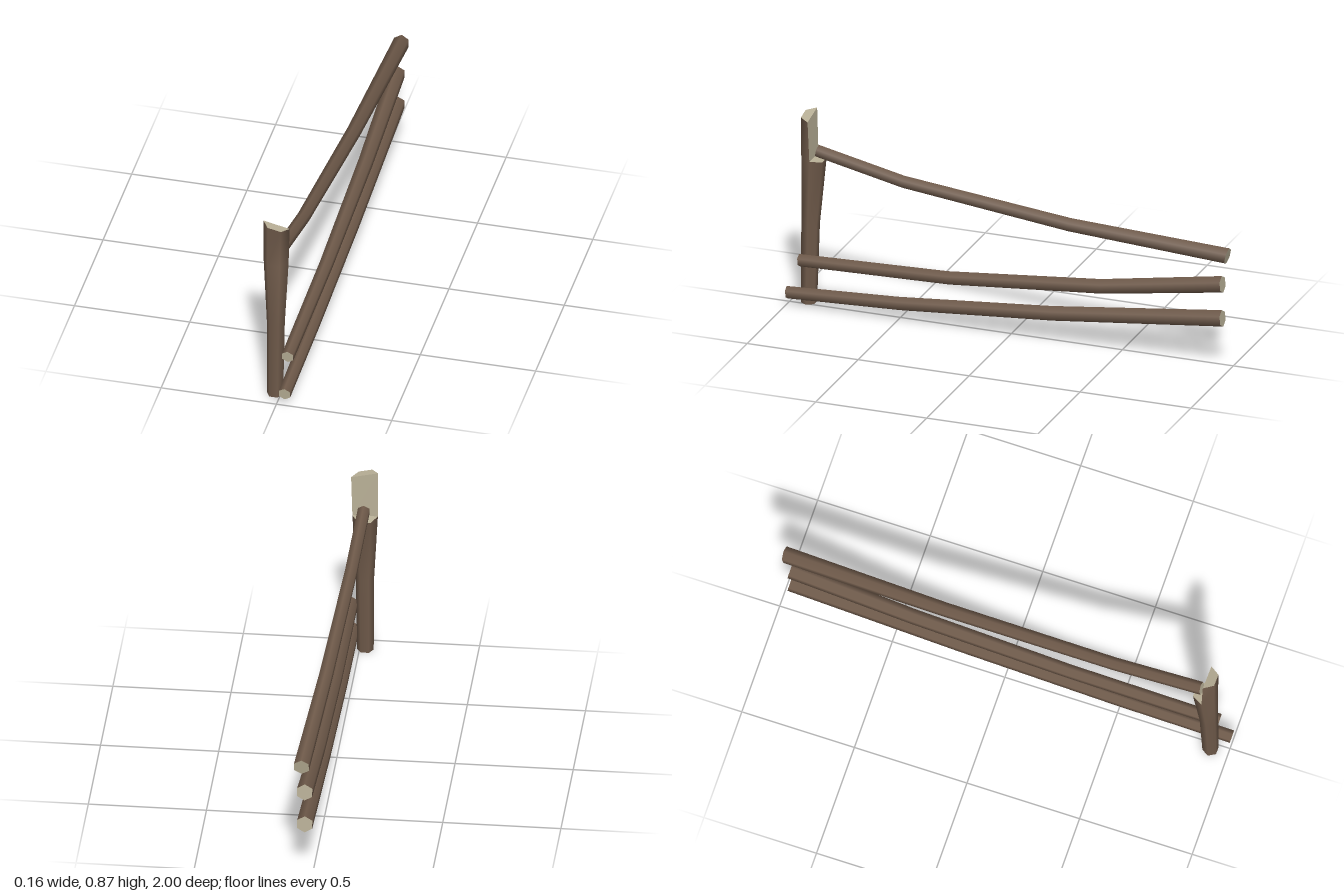
import * as THREE from 'three';

const bark = new THREE.MeshStandardMaterial({ color: 0x6f5a4a });
bark.name = 'bark brown';
const cutWood = new THREE.MeshStandardMaterial({ color: 0xb8af96 });
cutWood.name = 'cut wood';

const SIDES = 6;

// Smooth-sided skin through rings of points; normals point away from each ring centre
function skin(rings, closed, name) {
  const pos = [], nor = [], idx = [];
  const n = rings[0].points.length;
  for (const ring of rings) {
    for (const p of ring.points) {
      pos.push(...p.toArray());
      nor.push(...p.clone().sub(ring.center).normalize().toArray());
    }
  }
  for (let j = 0; j < rings.length - 1; j++) {
    for (let i = 0; i < (closed ? n : n - 1); i++) {
      const k = (i + 1) % n;
      const a = j * n + i, b = j * n + k, c = a + n, d = b + n;
      idx.push(a, c, b, b, c, d);
    }
  }
  const g = new THREE.BufferGeometry();
  g.setAttribute('position', new THREE.Float32BufferAttribute(pos, 3));
  g.setAttribute('normal', new THREE.Float32BufferAttribute(nor, 3));
  g.setIndex(idx);
  const mesh = new THREE.Mesh(g, bark);
  mesh.name = name;
  return mesh;
}

// Flat sawn face over a convex outline
function sawnFace(points, name) {
  const pos = [];
  for (let i = 1; i < points.length - 1; i++) {
    for (const p of [points[0], points[i], points[i + 1]]) pos.push(...p.toArray());
  }
  const g = new THREE.BufferGeometry();
  g.setAttribute('position', new THREE.Float32BufferAttribute(pos, 3));
  g.computeVertexNormals();
  const mesh = new THREE.Mesh(g, cutWood);
  mesh.name = name;
  return mesh;
}

// Rail: stations [x, y, z, radius] from front to back, sections leaning by `lean`
function makeRail(name, stations, lean) {
  const rings = stations.map(([x, y, z, r]) => {
    const points = [];
    for (let i = 0; i < SIDES; i++) {
      const t = Math.PI / 6 + (i / SIDES) * Math.PI * 2;
      const dy = Math.sin(t) * r;
      points.push(new THREE.Vector3(x + Math.cos(t) * r, y + dy, z + lean * dy));
    }
    return { center: new THREE.Vector3(x, y, z), points };
  });
  const rail = new THREE.Group();
  rail.name = name;
  rail.add(
    skin(rings, true, name + 'Bark'),
    sawnFace(rings[0].points, name + 'FrontEnd'),
    sawnFace([...rings[rings.length - 1].points].reverse(), name + 'BackEnd'),
  );
  return rail;
}

// Post section; slopeX and slopeZ tilt the section's plane
function postRing(x, y, z, rx, rz, count = SIDES, slopeX = 0, slopeZ = 0) {
  const points = [];
  for (let i = 0; i < count; i++) {
    const t = (i / SIDES) * Math.PI * 2;
    const dx = Math.cos(t) * rx, dz = Math.sin(t) * rz;
    points.push(new THREE.Vector3(x + dx, y + slopeX * dx + slopeZ * dz, z + dz));
  }
  return { center: new THREE.Vector3(x, y, z), points };
}

function makePost() {
  const post = new THREE.Group();
  post.name = 'post';

  // Full trunk up to the notch
  const trunk = [
    postRing(-0.025, 0, 0.922, 0.035, 0.035),
    postRing(-0.024, 0.36, 0.914, 0.039, 0.04),
    postRing(-0.026, 0.66, 0.9, 0.054, 0.054, SIDES, 0, 0.15),
  ];
  post.add(
    skin(trunk, true, 'postTrunk'),
    sawnFace(trunk[0].points, 'postFoot'),
    sawnFace([...trunk[2].points].reverse(), 'notchShelf'),
  );

  // Front half continues above the notch to a slanted top
  const low = postRing(-0.026, 0.66, 0.9, 0.054, 0.054, 4, 0, 0.15);
  const high = postRing(-0.023, 0.853, 0.906, 0.057, 0.047, 4, -0.22);
  const a = low.points, b = high.points;
  post.add(
    skin([low, high], false, 'postUpperHalf'),
    sawnFace([...b].reverse(), 'postTop'),
    sawnFace([a[0], a[3], b[3], b[0]], 'notchBack'),
  );
  return post;
}

export function createModel() {
  const fence = new THREE.Group();
  fence.name = 'railFence';
  fence.add(
    makePost(),
    makeRail('topRail', [
      [-0.022, 0.694, 0.882, 0.028],
      [-0.008, 0.616, 0.49, 0.028],
      [0.02, 0.543, -0.27, 0.031],
      [0.047, 0.517, -0.992, 0.036],
    ], -0.2),
    makeRail('middleRail', [
      [0.034, 0.209, 0.942, 0.028],
      [0.034, 0.227, 0.27, 0.03],
      [0.035, 0.29, -0.42, 0.033],
      [0.036, 0.38, -0.965, 0.037],
    ], 0.1),
    makeRail('bottomRail', [
      [0.034, 0.055, 0.997, 0.028],
      [0.034, 0.078, 0.49, 0.03],
      [0.035, 0.135, -0.2, 0.033],
      [0.036, 0.225, -0.965, 0.037],
    ], 0.1),
  );
  return fence;
}
